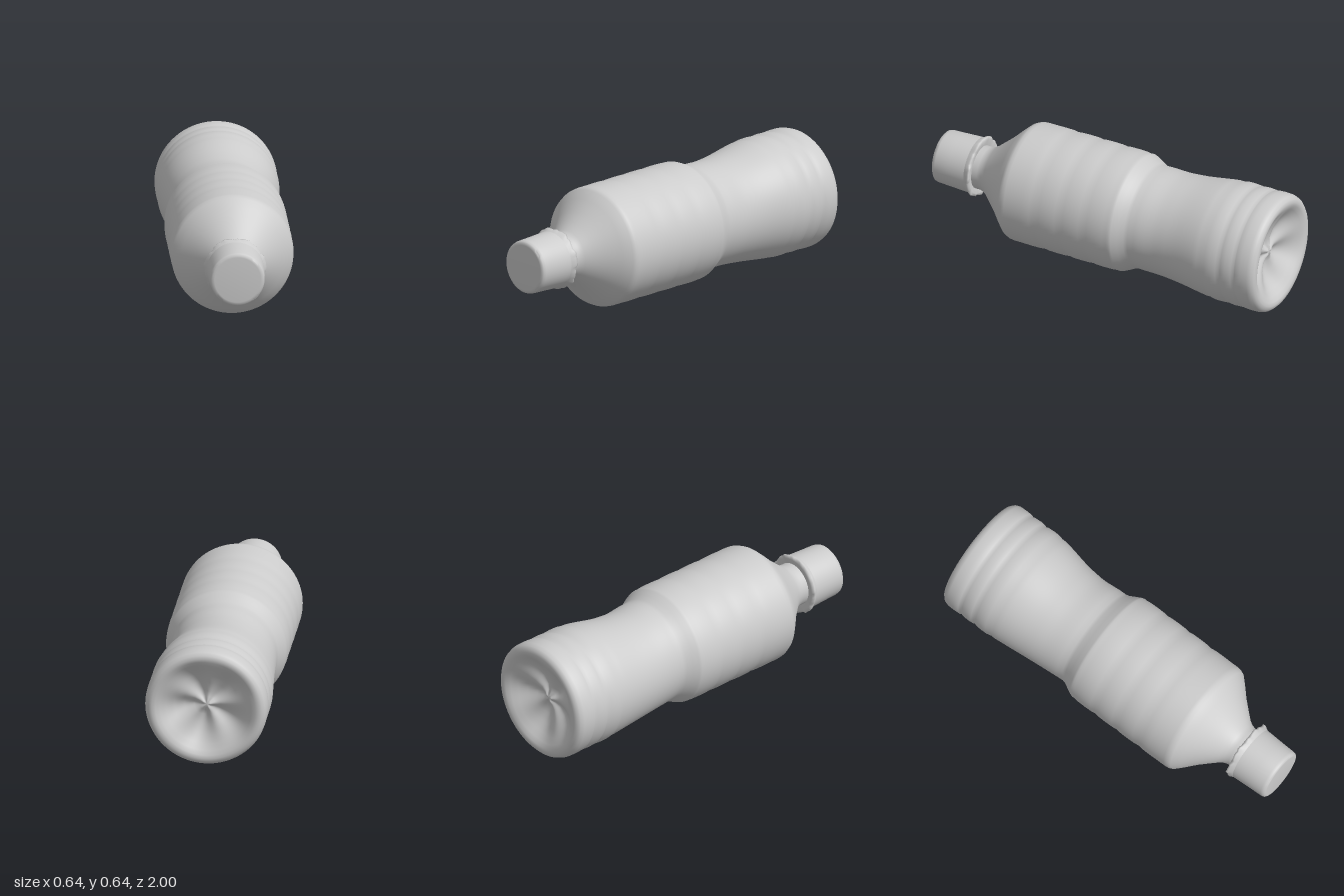
import * as THREE from 'three';
import { mergeVertices, toCreasedNormals } from 'three/addons/utils/BufferGeometryUtils.js';

const AXIS_Y = 0.325;
const smooth = THREE.MathUtils.smoothstep;

// Revolve a [radius, z] profile about the z axis, then adjust each ring by a rule
// rule(radius, z, angle) returns [radius, z]; angle is measured from +x towards +y.
function revolve(profile, segments, rule) {
  let g = new THREE.LatheGeometry(profile.map(([r, z]) => new THREE.Vector2(r, z)), segments);
  g.rotateX(Math.PI / 2);
  const p = g.attributes.position;
  for (let i = 0; i < p.count; i++) {
    const x = p.getX(i), y = p.getY(i);
    const a = Math.atan2(y, x);
    const [r, z] = rule(Math.hypot(x, y), p.getZ(i), a);
    p.setXYZ(i, r * Math.cos(a), r * Math.sin(a), z);
  }
  g.deleteAttribute('uv');
  g.deleteAttribute('normal');
  g = mergeVertices(g, 1e-5);
  g.computeVertexNormals();
  return g;
}

function bodyProfile() {
  // Hollow base with a central nub, rounded rim and base ribs
  const pts = [
    [0, -0.925], [0.02, -0.926], [0.04, -0.915], [0.07, -0.908], [0.12, -0.915],
    [0.17, -0.935], [0.21, -0.96], [0.24, -0.983], [0.262, -0.996], [0.28, -1],
    [0.298, -0.996], [0.312, -0.982], [0.319, -0.96], [0.32, -0.92], [0.318, -0.89],
    [0.31, -0.88], [0.317, -0.865], [0.319, -0.83], [0.317, -0.805], [0.311, -0.79],
    [0.317, -0.775], [0.319, -0.74], [0.318, -0.71], [0.312, -0.685],
  ];
  // Tapering grip
  for (let z = -0.66; z < -0.24; z += 0.03) {
    pts.push([0.277 + 0.036 * (-z - 0.24) / 0.42, z]);
  }
  pts.push([0.277, -0.235], [0.282, -0.215], [0.297, -0.185], [0.312, -0.155], [0.317, -0.142]);
  // Main barrel with shallow ribs
  for (const z of [-0.13, 0.01, 0.15, 0.3]) {
    pts.push([0.315, z], [0.319, z + 0.025], [0.32, z + 0.07], [0.319, z + 0.115]);
  }
  // Shoulder and neck
  pts.push([0.319, 0.47], [0.317, 0.49], [0.308, 0.51], [0.269, 0.55], [0.217, 0.6],
    [0.172, 0.65], [0.137, 0.69], [0.122, 0.715], [0.116, 0.74], [0.116, 0.8]);
  return pts;
}

function bodyRule(r, z, a) {
  // Finger hollow in the grip, deepest on the upper left
  const window = smooth(z, -0.69, -0.45) * (1 - smooth(z, -0.4, -0.23));
  if (z > -0.69 && z < -0.2) r -= 0.022 * window * (0.5 + 0.5 * Math.cos(a - Math.PI / 4));
  // Soft radial creases inside the base
  if (z < -0.9 && r < 0.27) {
    z += 0.013 * Math.sin(Math.PI * r / 0.27) * Math.cos(5 * a + 0.6);
  }
  return [r, z];
}

export function createModel() {
  const group = new THREE.Group();
  const material = new THREE.MeshStandardMaterial({
    color: 0xcccccc, roughness: 0.7, side: THREE.DoubleSide,
  });
  const add = (name, geometry, x = 0) => {
    const mesh = new THREE.Mesh(geometry, material);
    mesh.name = name;
    mesh.position.set(x, AXIS_Y, 0);
    group.add(mesh);
  };

  add('bottleBody', revolve(bodyProfile(), 96, bodyRule));

  // Tapered screw cap
  const cap = [[0.114, 0.785], [0.15, 0.78], [0.149, 0.82], [0.145, 0.9], [0.142, 0.975],
    [0.139, 0.99], [0.13, 0.997], [0.12, 0.998], [0, 0.998]];
  add('cap', toCreasedNormals(revolve(cap, 64, (r, z) => [r, z]), 0.8), -0.004);

  // Torn security ring: uneven flare at the foot of the cap
  const ring = [[0.114, 0.772], [0.145, 0.765], [0.16, 0.768], [0.161, 0.778], [0.151, 0.795], [0.147, 0.81]];
  add('securityRing', revolve(ring, 80, (r, z, a) => {
    const ragged = Math.sin(7 * a) * 0.5 + Math.sin(17 * a + 1) * 0.3 + Math.sin(29 * a + 2) * 0.2;
    return r > 0.155 ? [r + 0.006 * ragged, z - 0.006 * ragged] : [r, z];
  }), -0.004);

  return group;
}
